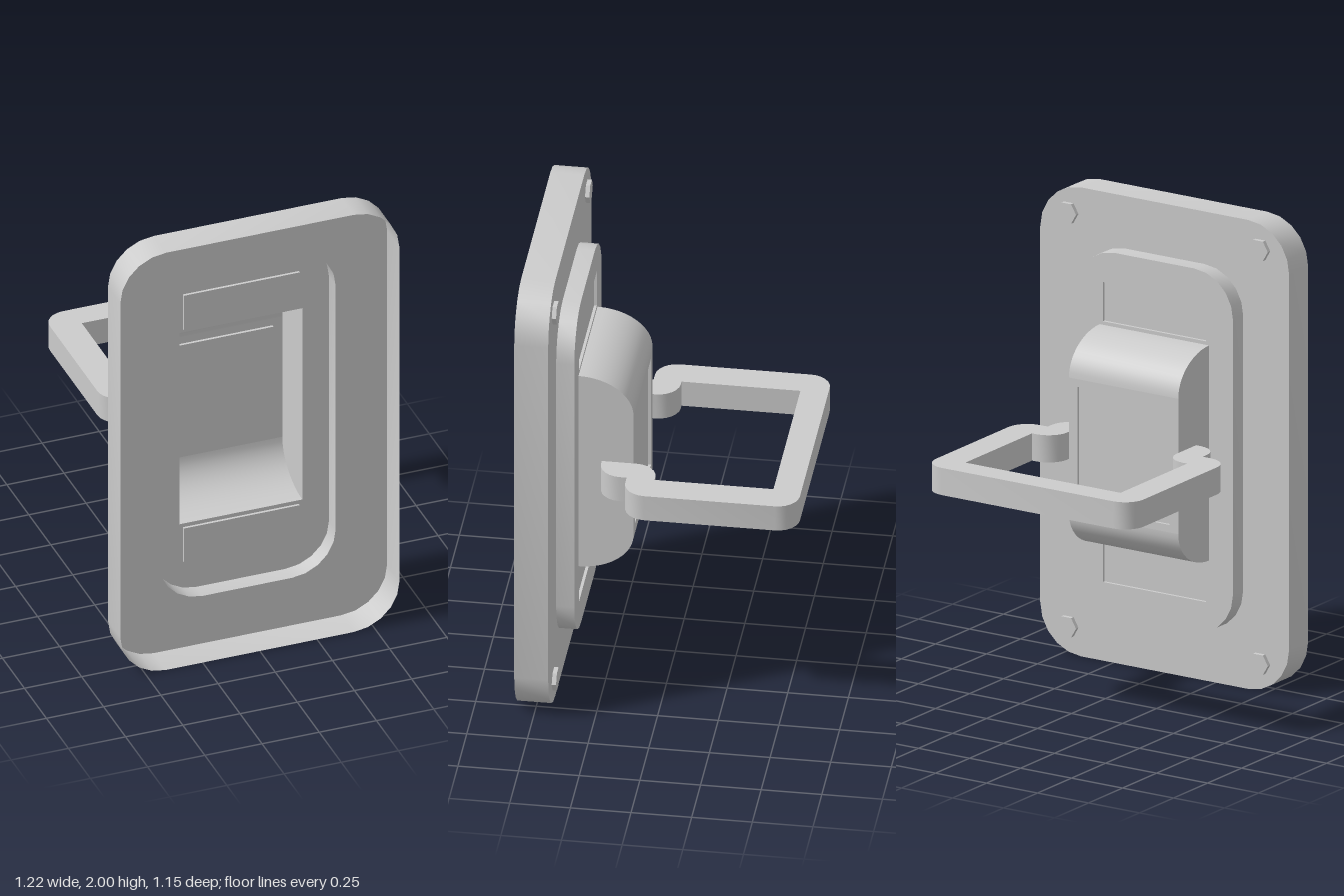
import * as THREE from 'three';
import { toCreasedNormals } from 'three/addons/utils/BufferGeometryUtils.js';

const material = new THREE.MeshStandardMaterial({ color: 0xcccccc, side: THREE.DoubleSide });

function add(parent, name, geometry) {
  const mesh = new THREE.Mesh(geometry, material);
  mesh.name = name;
  parent.add(mesh);
  return mesh;
}

// Right-angled outline whose corners [x, y, radius] are rounded
function rounded(corners, segments = 5) {
  const points = [];
  corners.forEach(([x, y, r], i) => {
    const p = new THREE.Vector2(x, y);
    if (!r) return points.push(p);
    const n = corners.length;
    const before = corners[(i + n - 1) % n], after = corners[(i + 1) % n];
    const a = new THREE.Vector2(before[0], before[1]).sub(p).normalize();
    const b = new THREE.Vector2(after[0], after[1]).sub(p).normalize();
    const c = p.clone().addScaledVector(a, r).addScaledVector(b, r);
    for (let k = 0; k <= segments; k++) {
      const t = (k / segments) * Math.PI / 2;
      points.push(c.clone().addScaledVector(b, -r * Math.cos(t)).addScaledVector(a, -r * Math.sin(t)));
    }
  });
  return points;
}

const rect = (w, y0, y1, r = 0) => rounded([[w, y0, r], [w, y1, r], [-w, y1, r], [-w, y0, r]]);

// Thin wall following an outline from z0 to z1
function wall(points, z0, z1, closed = true) {
  const position = [], index = [];
  points.forEach((p) => position.push(p.x, p.y, z0, p.x, p.y, z1));
  const n = points.length;
  for (let i = 0; i < (closed ? n : n - 1); i++) {
    const a = 2 * i, b = 2 * ((i + 1) % n);
    index.push(a, b, b + 1, a, b + 1, a + 1);
  }
  const g = new THREE.BufferGeometry();
  g.setAttribute('position', new THREE.Float32BufferAttribute(position, 3));
  g.setIndex(index);
  return toCreasedNormals(g, 0.6);
}

// Flat sheet with optional openings
function sheet(outline, z, holes = []) {
  const shape = new THREE.Shape(outline);
  shape.holes = holes.map((h) => new THREE.Path(h));
  return new THREE.ShapeGeometry(shape).translate(0, 0, z);
}

// Shallow panel pressed towards the front
function pressedPanel(parent, name, outline, z) {
  const depth = 0.012;
  add(parent, name, sheet(outline, z + depth));
  add(parent, name + 'Edge', wall(outline, z, z + depth));
}

export function createModel() {
  const model = new THREE.Group();
  model.name = 'latchPlate';
  const rimZ = 0.575, plateZ = 0.435, stepZ = 0.36, domeZ = 0.133;

  // Backplate with its forward flange
  const plate = rect(0.61, 0, 2, 0.2);
  const pocket = rect(0.385, 0.227, 1.776, 0.19);
  add(model, 'backplate', sheet(plate, plateZ, [pocket]));
  add(model, 'flange', wall(plate, plateZ, rimZ));

  // Stepped pocket with two pressed panels and an opening into the housing
  const w = 0.268, y0 = 0.543, y1 = 1.46;
  const upper = rect(0.253, 1.475, 1.642), lower = rect(0.253, 0.363, 0.526);
  add(model, 'pocketWall', wall(pocket, stepZ, plateZ));
  add(model, 'pocketFloor', sheet(pocket, stepZ, [upper, lower, rect(w, y0, y1)]));
  pressedPanel(model, 'upperPanel', upper, stepZ);
  pressedPanel(model, 'lowerPanel', lower, stepZ);

  // Hollow housing: curved ends, flat face, flat cheeks
  const housing = new THREE.Group();
  housing.name = 'housing';
  model.add(housing);
  const curveH = 0.17, curveD = stepZ - domeZ;
  const curve = (yEnd, s) => Array.from({ length: 13 }, (_, i) => {
    const t = (i / 12) * Math.PI / 2;
    return new THREE.Vector2(stepZ - curveD * Math.sin(t), yEnd - s * curveH * (1 - Math.cos(t)));
  });
  const top = curve(y1, 1), bottom = curve(y0, -1);
  add(housing, 'upperCurve', wall(top, -w, w, false).rotateY(-Math.PI / 2));
  add(housing, 'lowerCurve', wall(bottom, -w, w, false).rotateY(-Math.PI / 2));
  const profile = [...top, ...bottom.slice().reverse()];
  for (const s of [-1, 1]) {
    add(housing, s > 0 ? 'leftCheek' : 'rightCheek', sheet(profile, -s * w).rotateY(-Math.PI / 2));
  }
  const facePanel = rect(0.226, 0.745, 1.257);
  add(housing, 'housingFace', sheet(rect(w, y0 + curveH, y1 - curveH), domeZ, [facePanel]));
  pressedPanel(housing, 'facePanel', facePanel, domeZ);

  // Swinging handle: open frame with cranked ends, drawn in x and z
  const half = [
    [0.51, -0.575, 0.09], [0.51, 0.145, 0.09], [0.38, 0.145, 0], [0.38, 0.264, 0.09],
    [w, 0.264, 0], [w, 0.03, 0.09], [0.38, 0.03, 0], [0.38, -0.46, 0],
  ];
  const mirrored = half.map(([x, z, r]) => [-x, z, r]).reverse();
  const bar = new THREE.ExtrudeGeometry(new THREE.Shape(rounded([...half, ...mirrored], 6)), {
    depth: 0.116, bevelEnabled: false,
  }).rotateX(Math.PI / 2).translate(0, 1.059, 0);
  add(model, 'handle', toCreasedNormals(bar, 0.6));

  // Hexagonal bolt heads on the rear corners
  for (const x of [-0.47, 0.47]) {
    for (const y of [0.12, 1.885]) {
      const bolt = new THREE.CylinderGeometry(0.048, 0.048, 0.018, 6).rotateY(Math.PI / 6).rotateX(Math.PI / 2);
      bolt.rotateZ(0);
      add(model, 'bolt', toCreasedNormals(bolt, 0.4)).position.set(x, y, plateZ - 0.01);
    }
  }
  return model;
}
